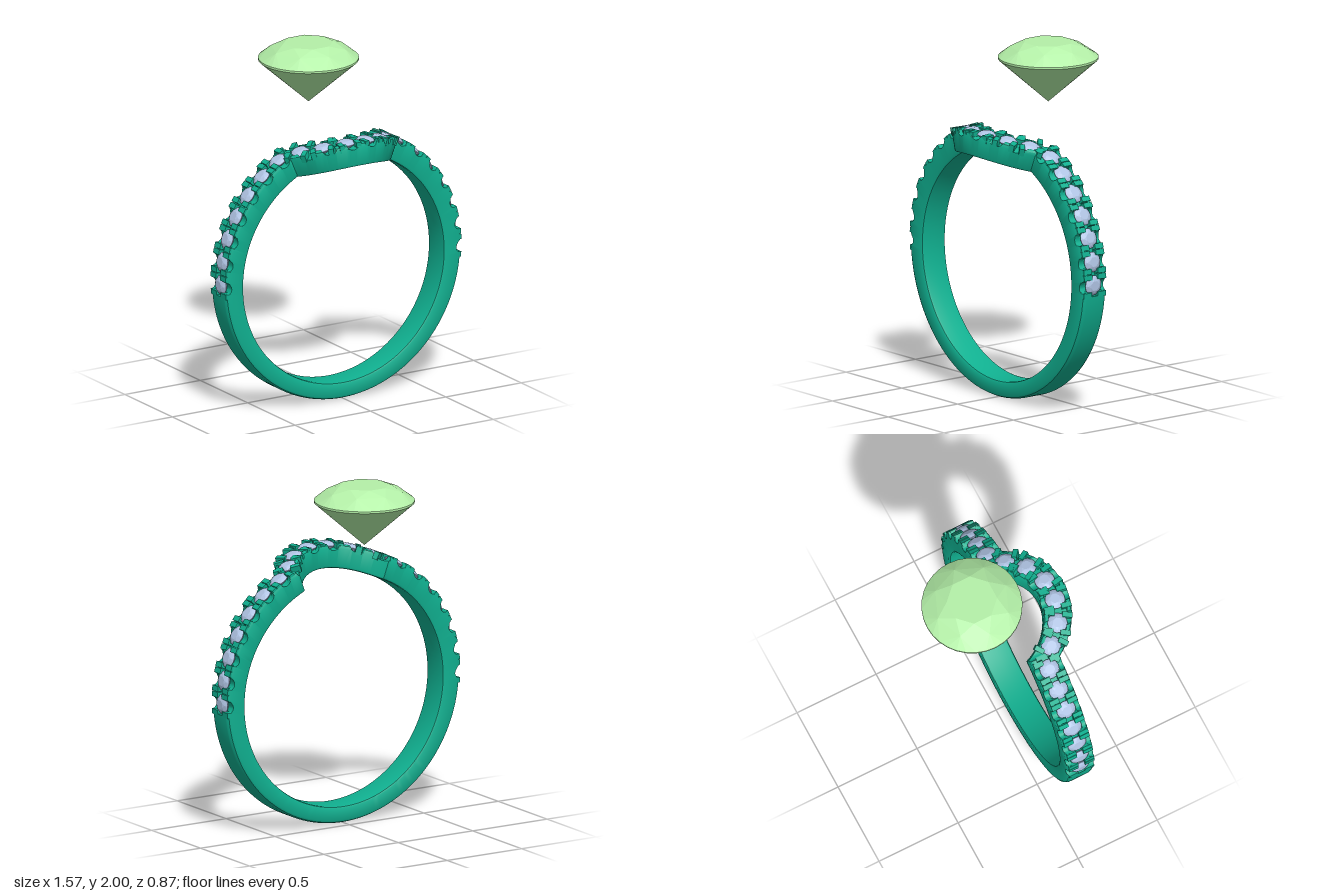
import * as THREE from 'three';
import { toCreasedNormals } from 'three/addons/utils/BufferGeometryUtils.js';
import { ConvexGeometry } from 'three/addons/geometries/ConvexGeometry.js';

const R = 0.783, CY = 0.785;         // outer circle of the band
const RI = 0.664, CYI = 0.763;       // finger hole, set slightly lower
const CHANNEL_END = 1.66;            // the stone channel spans +- this angle from the top
const NOTCH = 0.034;                 // radius of the scallops beside each stone
const HALF = [0.083, 0.25, 0.38, 0.53, 0.705, 0.88, 1.06, 1.235, 1.41, 1.585];
const STONE_ANGLES = [...HALF.map(a => -a), ...HALF];

// Front and back edges of the band: straight, but bowed forward at the top
function edges(a) {
  const x = R * Math.sin(a);
  const arc = (c, r) => (Math.abs(a) < 0.6 && Math.abs(x) < r ? c + Math.sqrt(r * r - x * x) : -1);
  return [Math.max(0.052, arc(-0.074, 0.334)), Math.max(0.222, arc(0.016, 0.414))];
}

// Point on the middle of the band at radius r
function midPoint(a, r) {
  const [b, f] = edges(a);
  return new THREE.Vector3(r * Math.sin(a), CY + r * Math.cos(a), (b + f) / 2);
}

// Local frame: x along the band, y outward, z across
function frame(a, r) {
  const t = midPoint(a + 0.005, r).sub(midPoint(a - 0.005, r)).normalize();
  const n = new THREE.Vector3(Math.sin(a), Math.cos(a), 0);
  n.addScaledVector(t, -n.dot(t)).normalize();
  const b = new THREE.Vector3().crossVectors(t, n);
  return new THREE.Matrix4().makeBasis(t, n, b).setPosition(midPoint(a, r));
}

// Depth of the scallop at angle a
function scallop(a) {
  let depth = 0;
  for (const s of STONE_ANGLES) {
    const d = Math.abs(a - s) * R;
    if (d < NOTCH) depth = Math.max(depth, Math.sqrt(NOTCH * NOTCH - d * d));
  }
  return depth;
}

function bandGeometry() {
  // Angles of the cross-sections, denser around scallops and corners
  let angles = [];
  for (let i = 0; i < 180; i++) angles.push(-Math.PI + i * Math.PI / 90);
  for (const s of STONE_ANGLES)
    for (const k of [-1, -0.98, -0.9, -0.75, -0.5, -0.25, 0, 0.25, 0.5, 0.75, 0.9, 0.98, 1])
      angles.push(s + k * NOTCH / R);
  for (const k of [0.406, 0.477, CHANNEL_END - 0.001, CHANNEL_END + 0.001]) angles.push(k, -k);
  angles.sort((p, q) => p - q);
  angles = angles.filter((a, i) => i === 0 || a - angles[i - 1] > 1e-4);

  // Cross-section: [across, inner to outer, 1 = floor of stone channel]
  const section = [
    [0, 0.12], [0.03, 0.03], [0.1, 0], [0.5, 0], [0.9, 0], [0.97, 0.03], [1, 0.12],
    [1, 0.8], [0.96, 0.92], [0.88, 0.985], [0.83, 1], [0.83, 1, 1], [0.5, 1, 1],
    [0.17, 1, 1], [0.17, 1], [0.12, 0.985], [0.04, 0.92], [0, 0.8],
  ];
  const pos = [], idx = [], n = section.length, m = angles.length;
  angles.forEach((a, i) => {
    const [zb, zf] = edges(a);
    const paved = Math.abs(a) < CHANNEL_END;
    const s = Math.sin(a), c = Math.cos(a);
    const thick = (R - RI) + (CY - CYI) * c;
    const drop = paved ? 0.004 + scallop(a) : 0;
    section.forEach(([u, v, floor], j) => {
      const cut = paved && floor ? Math.max(drop, 0.03) : drop;
      const w = Math.min(v, 1 - cut / thick);
      pos.push(
        s * (RI + (R - RI) * w),
        CYI + RI * c + (CY - CYI + (R - RI) * c) * w,
        zb + (zf - zb) * u);
      const a0 = i * n + j, a1 = i * n + (j + 1) % n;
      const k = ((i + 1) % m) * n, b0 = k + j, b1 = k + (j + 1) % n;
      idx.push(a0, b1, a1, a0, b0, b1);
    });
  });
  const g = new THREE.BufferGeometry();
  g.setAttribute('position', new THREE.Float32BufferAttribute(pos, 3));
  g.setIndex(idx);
  return toCreasedNormals(g, 0.6);
}

// Round brilliant cut with its girdle at y = 0
function brilliant(r, sides) {
  const pts = [new THREE.Vector3(0, -0.88 * r, 0)];
  const ring = (count, radius, y, phase) => {
    for (let i = 0; i < count; i++) {
      const a = phase + i / count * Math.PI * 2;
      pts.push(new THREE.Vector3(radius * r * Math.cos(a), y * r, radius * r * Math.sin(a)));
    }
  };
  ring(sides, 1, 0, 0);
  ring(sides, 1, 0.04, 0);
  ring(8, 0.76, 0.235, 0);
  ring(8, 0.5, 0.345, Math.PI / 8);
  return new ConvexGeometry(pts);
}

export function createModel() {
  const model = new THREE.Group();
  model.name = 'ring';
  const metal = new THREE.MeshStandardMaterial({ color: 0x10b090 });
  const blue = new THREE.MeshStandardMaterial({ color: 0xb0c4e4, flatShading: true });
  const green = new THREE.MeshStandardMaterial({ color: 0xb4f0a8, flatShading: true });
  const add = (parent, name, geometry, material) => {
    const mesh = new THREE.Mesh(geometry, material);
    mesh.name = name;
    parent.add(mesh);
    return mesh;
  };

  add(model, 'band', bandGeometry(), metal);

  // Small stones, each held by four corner prongs
  const stoneGeo = brilliant(0.057, 16);
  const prongGeo = new THREE.BoxGeometry(0.03, 0.045, 0.058);
  for (const a of STONE_ANGLES) {
    const setting = new THREE.Group();
    setting.name = 'stoneSetting';
    frame(a, R - 0.02).decompose(setting.position, setting.quaternion, setting.scale);
    add(setting, 'smallStone', stoneGeo, blue);
    for (const sx of [-1, 1]) for (const sz of [-1, 1]) {
      const prong = add(setting, 'prong', prongGeo, metal);
      prong.position.set(sx * 0.05, -0.004, sz * 0.05);
      prong.rotation.z = -sx * 0.05 / R;
    }
    model.add(setting);
  }

  // Large stone floating above and behind the bow
  const centre = add(model, 'centreStone', brilliant(0.284, 32), green);
  centre.position.set(0, 1.902, -0.153);
  return model;
}
